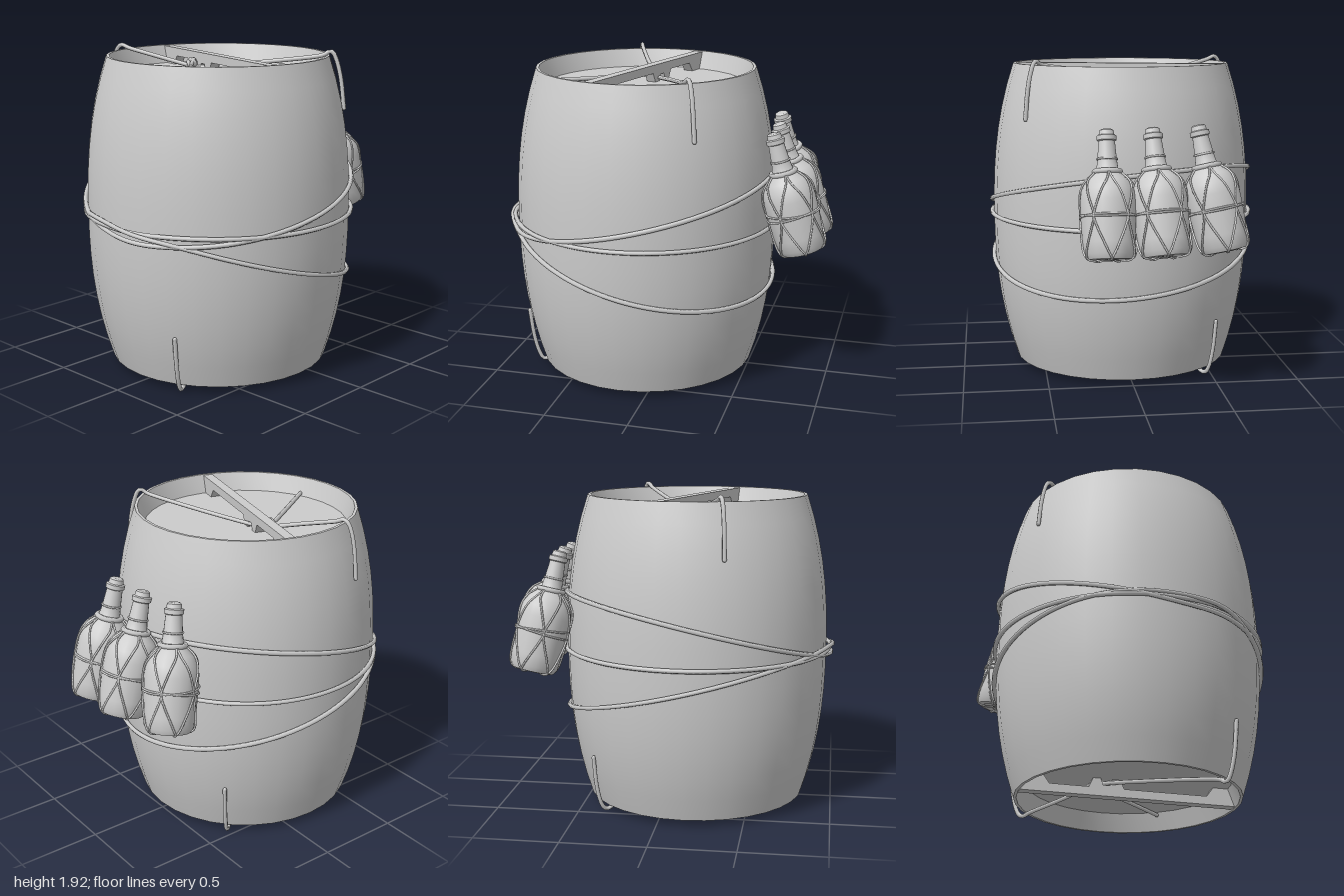
import * as THREE from 'three';
import { toCreasedNormals } from 'three/addons/utils/BufferGeometryUtils.js';

const V = (x, y, z) => new THREE.Vector3(x, y, z);
const material = new THREE.MeshStandardMaterial({ color: 0xcccccc });

function part(name, geometry, parent) {
  const mesh = new THREE.Mesh(geometry, material);
  mesh.name = name;
  parent.add(mesh);
  return mesh;
}

const lathe = (points, sides) => toCreasedNormals(
  new THREE.LatheGeometry(points.map(([r, y]) => new THREE.Vector2(r, y)), sides), 0.6);

// Rope along a smooth path, with rounded ends when open
function rope(name, points, radius, parent, { closed = false, steps = 40, tension = 0.5 } = {}) {
  const curve = new THREE.CatmullRomCurve3(points, closed, 'catmullrom', tension);
  part(name, new THREE.TubeGeometry(curve, steps, radius, 6, closed), parent);
  if (!closed) {
    for (const end of [points[0], points[points.length - 1]]) {
      part(name + 'End', new THREE.SphereGeometry(radius, 6, 4), parent).position.copy(end);
    }
  }
}

// Barrel, measured from its own centre
const HALF = 0.92;
const barrelRadius = (y) => 0.795 - 0.133 * Math.pow(Math.min(1, Math.abs(y) / HALF), 2.4);

function addBarrel(parent) {
  const rows = 14;
  const profile = [[0, -0.81], [0.605, -0.81], [0.645, -HALF]];
  for (let i = 0; i <= rows; i++) {
    const y = -HALF + (2 * HALF * i) / rows;
    profile.push([barrelRadius(y), y]);
  }
  profile.push([0.645, HALF], [0.605, 0.81], [0, 0.81]);
  part('barrel', lathe(profile, 32), parent);
}

// Hoop ropes: height varies around the barrel, all meeting near one side
function addHoops(parent) {
  const hoops = [
    { name: 'middleHoop', a: 0, b: 0, c: 0, d: 0, bulge: 0.015 },
    { name: 'upperHoop', a: 0.15, b: 0.18, c: -0.08, d: -0.01, bulge: 0.025 },
    { name: 'lowerHoop', a: -0.2, b: -0.203, c: -0.07, d: 0.01, bulge: 0.035 },
  ];
  for (const { name, a, b, c, d, bulge } of hoops) {
    const points = [];
    for (let i = 0; i < 48; i++) {
      const t = (i / 48) * Math.PI * 2;
      const y = a + b * Math.cos(t) + c * Math.sin(t) + d * Math.cos(2 * t);
      const r = barrelRadius(y) + 0.012 + bulge * Math.exp(-(((t - 2.95) / 0.25) ** 2));
      points.push(V(r * Math.cos(t), y, r * Math.sin(t)));
    }
    rope(name, points, 0.014, parent, { closed: true, steps: 128 });
  }
}

// Cross bar and tied ropes on one barrel head
function makeEnd(name) {
  const end = new THREE.Group();
  end.name = name;

  // Bar with feet at both ends and an arch where the rope passes under
  const outline = [
    [-0.64, 0.915], [-0.61, 0.81], [-0.51, 0.81], [-0.47, 0.865],
    [0.03, 0.865], [0.055, 0.81], [0.1, 0.81], [0.115, 0.85], [0.155, 0.85],
    [0.17, 0.81], [0.215, 0.81], [0.24, 0.865],
    [0.47, 0.865], [0.51, 0.81], [0.61, 0.81], [0.64, 0.915],
  ];
  const barShape = new THREE.Shape(outline.map(([x, y]) => new THREE.Vector2(x, y)));
  const barGeometry = new THREE.ExtrudeGeometry(barShape, { depth: 0.06, bevelEnabled: false });
  barGeometry.translate(0, 0, -0.03);
  part('crossBar', barGeometry, end).rotation.y = 1.29;

  // Three rope legs from the knot; two hang over the rim
  const knot = V(-0.005, 0.83, -0.215);
  rope('longRope', [knot, V(0.04, 0.828, -0.12), V(0.2, 0.87, 0.18), V(0.345, 0.915, 0.48),
    V(0.39, 0.945, 0.54), V(0.412, 0.9, 0.567), V(0.43, 0.78, 0.592), V(0.443, 0.61, 0.608)],
    0.013, end, { steps: 60 });
  rope('shortRope', [knot, V(-0.1, 0.88, -0.4), V(-0.18, 0.925, -0.575), V(-0.205, 0.945, -0.635),
    V(-0.22, 0.9, -0.672), V(-0.23, 0.78, -0.7), V(-0.235, 0.61, -0.718)],
    0.013, end, { steps: 60 });
  rope('sideRope', [knot, V(-0.29, 0.826, -0.022), V(-0.578, 0.828, 0.17)], 0.013, end);

  for (const tilt of [0.5, 1.6, 2.6]) {
    const loop = part('knot', new THREE.TorusGeometry(0.025, 0.013, 6, 12), end);
    loop.position.set(knot.x, knot.y + 0.02, knot.z);
    loop.rotation.set(tilt, tilt * 1.3, 0);
  }
  return end;
}

// Bottle standing on its own origin
const BODY = [[0.125, 0.005], [0.142, 0.035], [0.147, 0.1], [0.154, 0.22],
  [0.155, 0.33], [0.146, 0.39], [0.12, 0.44], [0.082, 0.475]];

function surfaceRadius(y) {
  for (let i = 1; i < BODY.length; i++) {
    const [r0, y0] = BODY[i - 1], [r1, y1] = BODY[i];
    if (y <= y1) return r0 + ((r1 - r0) * (y - y0)) / (y1 - y0);
  }
  return BODY[BODY.length - 1][0];
}

function makeBottle(name) {
  const bottle = new THREE.Group();
  bottle.name = name;
  part('glass', lathe([[0, 0.035], [0.06, 0.025], [0.095, 0], ...BODY, [0.062, 0.5], [0.055, 0.55],
    [0.046, 0.66], [0.055, 0.665], [0.056, 0.69], [0.044, 0.695], [0.04, 0.72],
    [0.03, 0.727], [0, 0.727]], 20), bottle);

  const onBody = (angle, y) => {
    const r = surfaceRadius(y) + 0.004;
    return V(r * Math.cos(angle), y, r * Math.sin(angle));
  };

  // Net: zigzag cords from the collar down and under the base
  const strands = 5;
  for (let k = 0; k < strands; k++) {
    for (const side of [-1, 1]) {
      const at = (u) => ((k + side * u) / strands) * Math.PI * 2;
      const points = [V(0.07 * Math.cos(at(0)), 0.49, 0.07 * Math.sin(at(0)))];
      for (const [u, y] of [[0.1, 0.44], [0.24, 0.39], [0.36, 0.33], [0.5, 0.24],
        [0.4, 0.17], [0.24, 0.1], [0.1, 0.04], [0, 0.006]]) points.push(onBody(at(u), y));
      points.push(V(0.09 * Math.cos(at(0)), -0.004, 0.09 * Math.sin(at(0))),
        V(0.035 * Math.cos(at(0)), 0.008, 0.035 * Math.sin(at(0))));
      rope('netCord', points, 0.006, bottle, { steps: 36 });
    }
  }

  // Cords around the body and at the collar
  for (const [height, slope] of [[0.235, 0.012], [0.25, -0.015]]) {
    const points = [];
    for (let i = 0; i < 20; i++) {
      const t = (i / 20) * Math.PI * 2;
      points.push(onBody(t, height + slope * Math.cos(t)));
    }
    rope('bodyCord', points, 0.006, bottle, { closed: true });
  }
  for (const [label, radius, tube, y] of [['collarRope', 0.072, 0.016, 0.49],
    ['neckCord', 0.056, 0.006, 0.56], ['baseRing', 0.035, 0.006, 0.008]]) {
    const ring = part(label, new THREE.TorusGeometry(radius, tube, 6, 20), bottle);
    ring.rotation.x = Math.PI / 2;
    ring.position.y = y;
  }
  return bottle;
}

export function createModel() {
  const model = new THREE.Group();
  model.name = 'barrelWithBottles';

  const body = new THREE.Group();
  body.name = 'barrelAssembly';
  body.position.set(-0.155, 0.96, 0);
  model.add(body);
  addBarrel(body);
  addHoops(body);

  // The lower head is the upper one turned over
  body.add(makeEnd('upperEnd'));
  const lower = makeEnd('lowerEnd');
  lower.rotation.set(Math.PI, THREE.MathUtils.degToRad(-209), 0, 'YXZ');
  body.add(lower);

  // Three bottles leaning against the side
  const places = [
    ['frontBottle', V(0.85, 0.845, 0.18), V(0.66, 1.53, 0.175)],
    ['middleBottle', V(0.855, 0.855, -0.13), V(0.645, 1.55, -0.083)],
    ['backBottle', V(0.765, 0.86, -0.48), V(0.62, 1.545, -0.35)],
  ];
  for (const [name, base, top] of places) {
    const bottle = makeBottle(name);
    bottle.position.copy(base);
    bottle.quaternion.setFromUnitVectors(V(0, 1, 0), top.sub(base).normalize());
    model.add(bottle);
  }
  return model;
}
